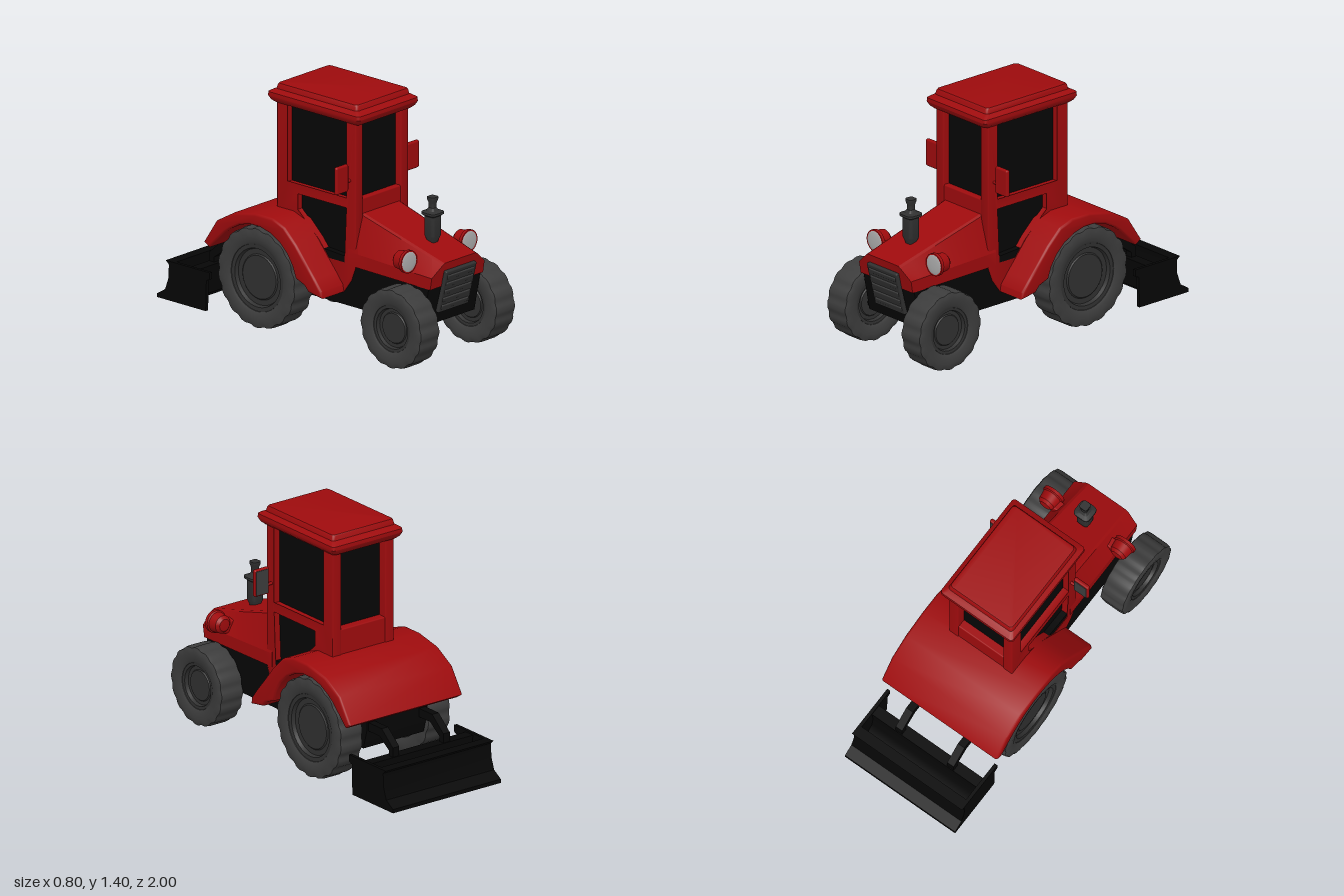
import * as THREE from 'three';
import { RoundedBoxGeometry } from 'three/addons/geometries/RoundedBoxGeometry.js';
import { toCreasedNormals } from 'three/addons/utils/BufferGeometryUtils.js';

const mat = (color) => new THREE.MeshStandardMaterial({ color, side: THREE.DoubleSide });
const RED = mat(0x9e0b0d), BLACK = mat(0x060606), TYRE = mat(0x3c3c3c), RIM = mat(0x303030), LAMP = mat(0xacacac);

function add(parent, name, geometry, material, x = 0, y = 0, z = 0) {
  const mesh = new THREE.Mesh(geometry, material);
  mesh.name = name;
  mesh.position.set(x, y, z);
  parent.add(mesh);
  return mesh;
}

const box = (w, h, d, r = 0.008) => new RoundedBoxGeometry(w, h, d, 2, r);
const outline = (pts) => pts.map(([a, b]) => new THREE.Vector2(a, b));

// Side profile given as [z, y], extruded symmetrically along x
function profile(pts, width, bevel = 0, holes = []) {
  const shape = new THREE.Shape(outline(pts));
  holes.forEach((h) => shape.holes.push(new THREE.Path(outline(h))));
  const depth = width - 2 * bevel;
  const geo = new THREE.ExtrudeGeometry(shape, {
    depth, bevelEnabled: bevel > 0, bevelThickness: bevel, bevelSize: bevel, bevelOffset: -bevel, bevelSegments: 3,
  });
  return toCreasedNormals(geo.translate(0, 0, -depth / 2).rotateY(-Math.PI / 2), 0.6);
}

// Closed skin through rings that run counter-clockwise seen from the last ring
function loft(rings, crease = 0.5) {
  const n = rings[0].length, index = [];
  for (let i = 0; i < rings.length - 1; i++) {
    for (let j = 0; j < n; j++) {
      const a = i * n + j, b = i * n + (j + 1) % n;
      index.push(a, b, b + n, a, b + n, a + n);
    }
  }
  const last = (rings.length - 1) * n;
  for (let j = 1; j < n - 1; j++) index.push(0, j + 1, j, last, last + j, last + j + 1);
  const geo = new THREE.BufferGeometry();
  geo.setAttribute('position', new THREE.Float32BufferAttribute(rings.flat(2), 3));
  geo.setIndex(index);
  return toCreasedNormals(geo, crease);
}

// Rounded rectangle ring lying flat at height y
function flatRing(y, hx, hz, cz, r) {
  const pts = [];
  for (let k = 0; k < 4; k++) {
    const sz = k === 0 || k === 3 ? 1 : -1, sx = k < 2 ? 1 : -1;
    for (let i = 0; i <= 4; i++) {
      const a = (k + i / 4) * Math.PI / 2;
      pts.push([sx * (hx - r) + r * Math.sin(a), y, cz + sz * (hz - r) + r * Math.cos(a)]);
    }
  }
  return pts;
}

// Wheel with a lugged tread, axis along x
function makeWheel(name, r, w, rimR, lugs) {
  const wheel = new THREE.Group();
  wheel.name = name;
  const h = w / 2;
  const half = [[rimR, h * 0.55], [rimR + 0.005, h * 0.85], [rimR + 0.02, h * 0.95], [r * 0.82, h], [r * 0.92, h * 0.98], [r * 0.985, h * 0.9], [r, h * 0.6]];
  const pts = [...half.map(([a, b]) => [a, -b]), ...half.reverse()];
  const geo = new THREE.LatheGeometry(outline(pts), lugs * 8);
  const p = geo.attributes.position;
  for (let i = 0; i < p.count; i++) {
    const x = p.getX(i), z = p.getZ(i);
    if (Math.hypot(x, z) < r * 0.9) continue;
    // Broad lugs with soft flanks
    const wave = Math.cos(Math.atan2(z, x) * lugs);
    const s = 0.985 + 0.015 * THREE.MathUtils.clamp(wave * 1.6 + 0.4, -1, 1);
    p.setX(i, x * s);
    p.setZ(i, z * s);
  }
  add(wheel, 'tyre', toCreasedNormals(geo.rotateZ(Math.PI / 2), 0.7), TYRE);
  const face = [[0, 0.62], [rimR * 0.66, 0.62], [rimR * 0.7, 0.54], [rimR * 0.86, 0.54], [rimR * 0.9, 0.8], [rimR + 0.004, 0.82]];
  const hub = [...face.map(([a, b]) => [a, -b * h]), ...face.reverse().map(([a, b]) => [a, b * h])];
  add(wheel, 'rim', toCreasedNormals(new THREE.LatheGeometry(outline(hub), 40).rotateZ(Math.PI / 2), 0.5), RIM);
  return wheel;
}

function addWheels(g) {
  for (const s of [-1, 1]) {
    const front = makeWheel('frontWheel', 0.231, 0.165, 0.13, 16);
    front.position.set(s * 0.31 - 0.007, 0.235, 0.77);
    const rear = makeWheel('rearWheel', 0.293, 0.165, 0.19, 18);
    rear.position.set(s * 0.308, 0.3, -0.25);
    g.add(front, rear);
  }
  for (const [y, z] of [[0.235, 0.77], [0.3, -0.25]]) {
    add(g, 'axle', new THREE.CylinderGeometry(0.04, 0.04, 0.56, 16).rotateZ(Math.PI / 2), BLACK, 0, y, z);
  }
}

function addBody(g) {
  add(g, 'chassis', profile([[0.845, 0.22], [0.895, 0.48], [0.3, 0.5], [0, 0.52], [-0.15, 0.6], [-0.35, 0.6],
    [-0.45, 0.52], [-0.55, 0.4], [-0.55, 0.33], [-0.52, 0.22]], 0.424), BLACK);
  // Tapered hood
  const lerp = THREE.MathUtils.lerp, rings = [];
  for (let i = 0; i <= 8; i++) {
    const t = i / 8, y0 = lerp(0.46, 0.45, t), y1 = lerp(0.54, 0.52, t), y2 = lerp(0.77, 0.592, t);
    const z = lerp(0.29, 0.905, t), z1 = lerp(0.29, 0.917, t), z2 = lerp(0.29, 0.932, t), w = lerp(0.222, 0.217, t), top = lerp(0.16, 0.142, t);
    const half = [[w, y0, z], [w, y1, z1], [top, y2 - 0.008, z2], [top - 0.015, y2, z2]];
    rings.push([...half, ...half.map(([x, y, d]) => [-x, y, d]).reverse()]);
  }
  add(g, 'hood', loft(rings, 0.3), RED);
  // Leaning grille with louvres
  const grille = new THREE.Group();
  grille.name = 'grille';
  add(grille, 'grillePanel', box(0.25, 0.265, 0.025), RIM);
  for (let i = 0; i < 5; i++) {
    add(grille, 'louvre', box(0.22, 0.03, 0.014, 0.006), TYRE, 0, 0.095 - i * 0.048, 0.01).rotation.x = 0.25;
  }
  grille.position.set(0, 0.417, 0.902);
  grille.rotation.x = 0.25;
  g.add(grille);
  // Rear fender: an arch over the rear wheels, full width
  const arch = [[0.25, 0.335], [0.255, 0.295], [0.15, 0.312], [0.12, 0.345], [0.055, 0.37]];
  for (let i = 1; i <= 8; i++) {
    const a = 0.2 + i * 0.25;
    arch.push([-0.25 + 0.312 * Math.cos(a), 0.3 + 0.312 * Math.sin(a)]);
  }
  arch.push([-0.475, 0.522], [-0.595, 0.405], [-0.635, 0.43], [-0.54, 0.575], [-0.41, 0.65], [-0.25, 0.682],
    [-0.12, 0.682], [-0.03, 0.65], [0.06, 0.565], [0.145, 0.462], [0.2, 0.398]);
  add(g, 'rearFender', profile(arch, 0.8, 0.014), RED);
}

function addCab(g) {
  const side = [[0.345, 1.31], [0.345, 0.46], [0.31, 0.37], [0.255, 0.295], [0.15, 0.312], [0.05, 0.45], [-0.1, 0.6], [-0.25, 0.62], [-0.25, 1.31]];
  const upper = [[0.284, 1.302], [0.284, 0.84], [-0.175, 0.84], [-0.175, 1.302]];
  const lower = [[0.284, 0.798], [0.268, 0.46], [0.141, 0.46], [0.065, 0.553], [-0.098, 0.695], [-0.098, 0.798]];
  for (const s of [-1, 1]) {
    add(g, 'cabSide', profile(side, 0.063, 0.008, [upper, lower]), RED, s * 0.186);
    // Mirror on a short arm
    add(g, 'mirrorArm', new THREE.CylinderGeometry(0.009, 0.009, 0.09, 12).rotateZ(Math.PI / 2), RED, s * 0.23, 0.955, 0.3);
    add(g, 'mirrorShell', box(0.1, 0.16, 0.026, 0.011), RED, s * 0.29, 0.98, 0.303);
    add(g, 'mirrorGlass', box(0.084, 0.142, 0.006, 0.002), TYRE, s * 0.29, 0.98, 0.29);
  }
  add(g, 'frontCabWall', box(0.33, 0.385, 0.055), RED, 0, 0.653, 0.312);
  add(g, 'rearCabWall', box(0.33, 0.24, 0.06), RED, 0, 0.71, -0.215);
  add(g, 'cabGlass', new THREE.BoxGeometry(0.35, 0.82, 0.5), BLACK, 0, 0.89, 0.055);
  // Roof with a wide brim and a raised top: height, half width, half length
  const levels = [[1.292, 0.222, 0.318], [1.308, 0.24, 0.335], [1.33, 0.25, 0.346], [1.352, 0.248, 0.344], [1.358, 0.24, 0.335],
    [1.372, 0.221, 0.308], [1.395, 0.217, 0.302], [1.403, 0.212, 0.297], [1.405, 0.203, 0.288]];
  add(g, 'roof', loft(levels.map(([y, hx, hz]) => flatRing(y, hx, hz, 0.05, 0.02)), 0.6), RED);
}

function addFittings(g) {
  // Exhaust stack with a rounded square section
  const stack = [[0.62, 0.022], [0.65, 0.026], [0.68, 0.038], [0.795, 0.038], [0.805, 0.052], [0.818, 0.052], [0.826, 0.03],
    [0.842, 0.018], [0.868, 0.018], [0.892, 0.026], [0.905, 0.026]];
  add(g, 'exhaust', loft(stack.map(([y, h]) => flatRing(y, h, h, 0.725, h * 0.5)), 0.5), RIM);
  // Headlights
  const shell = outline([[0, -0.05], [0.035, -0.047], [0.052, -0.03], [0.058, 0.02], [0.066, 0.026], [0.066, 0.045], [0.058, 0.045]]);
  for (const s of [-1, 1]) {
    add(g, 'headlightShell', toCreasedNormals(new THREE.LatheGeometry(shell, 32).rotateX(Math.PI / 2), 0.6), RED, s * 0.247, 0.594, 0.73);
    add(g, 'headlightLens', new THREE.SphereGeometry(0.06, 32, 8, 0, Math.PI * 2, 0, Math.PI / 2).scale(1, 0.12, 1).rotateX(Math.PI / 2), LAMP, s * 0.247, 0.594, 0.773);
    add(g, 'headlightBracket', box(0.09, 0.07, 0.06), RED, s * 0.195, 0.57, 0.725);
  }
}

function addScraper(g) {
  const scraper = new THREE.Group();
  scraper.name = 'rearScraper';
  const end = [[-0.605, 0.25], [-0.935, 0.25], [-0.912, 0.23], [-0.915, 0.15], [-0.94, 0.08], [-1, 0.042], [-1, 0.02], [-0.635, 0.02], [-0.63, 0.2], [-0.605, 0.21]];
  const arm = [[-0.5, 0.38], [-0.67, 0.38], [-0.77, 0.295], [-0.77, 0.2], [-0.735, 0.2], [-0.735, 0.27], [-0.65, 0.33], [-0.5, 0.33]];
  for (const s of [-1, 1]) {
    add(scraper, 'endPlate', profile(end, 0.02), BLACK, s * 0.37);
    add(scraper, 'liftArm', profile(arm, 0.045), BLACK, s * 0.178);
  }
  // Curved rear blade and slanted front blade
  add(scraper, 'rearBlade', profile([[-0.87, 0.25], [-0.935, 0.25], [-0.912, 0.23], [-0.915, 0.15], [-0.94, 0.08], [-1, 0.042], [-1, 0.02],
    [-0.92, 0.055], [-0.89, 0.12], [-0.88, 0.2]], 0.74), BLACK);
  add(scraper, 'frontBlade', profile([[-0.71, 0.24], [-0.775, 0.24], [-0.765, 0.15], [-0.775, 0.08], [-0.81, 0.04], [-0.81, 0.02],
    [-0.755, 0.06], [-0.74, 0.14]], 0.74), BLACK);
  g.add(scraper);
}

export function createModel() {
  const tractor = new THREE.Group();
  tractor.name = 'tractor';
  [addWheels, addBody, addCab, addFittings, addScraper].forEach((build) => build(tractor));
  return tractor;
}
